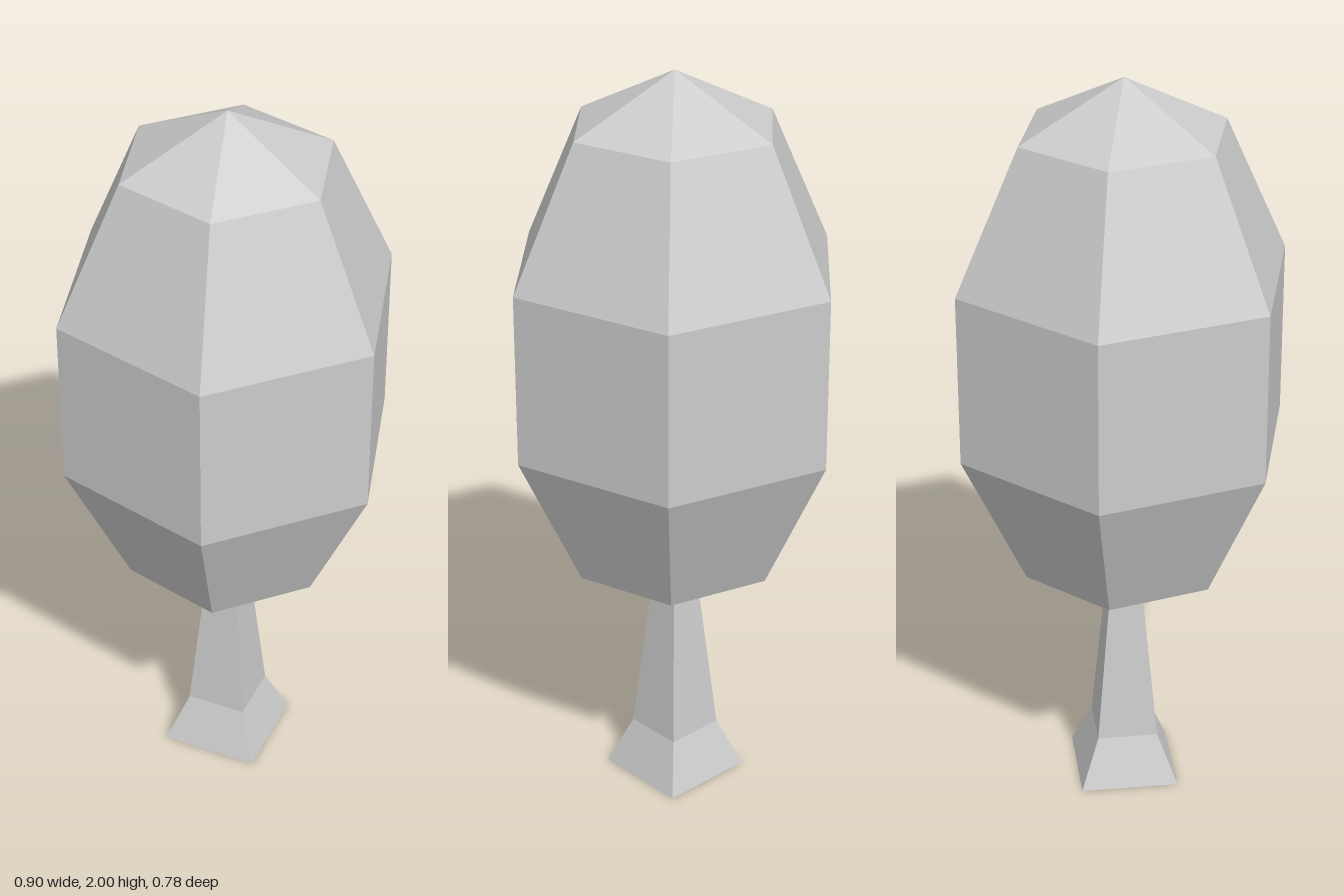
import * as THREE from 'three';

export function createModel() {
  const tree = new THREE.Group();
  tree.name = 'tree';

  // Six-sided faceted foliage
  const foliageGeometry = new THREE.SphereGeometry(1, 6, 5);
  foliageGeometry.scale(0.473, 0.7425, 0.473);
  const foliage = new THREE.Mesh(
    foliageGeometry,
    new THREE.MeshStandardMaterial({ color: 0xcccccc, flatShading: true })
  );
  foliage.name = 'foliage';
  foliage.position.y = 1.2575;
  tree.add(foliage);

  // Four-sided trunk with a flared, open foot; its top ends inside the foliage
  const profile = [[0.187, 0], [0.115, 0.135], [0.053, 0.64]]
    .map(([r, y]) => new THREE.Vector2(r, y));
  const trunk = new THREE.Mesh(
    new THREE.LatheGeometry(profile, 4),
    new THREE.MeshStandardMaterial({ color: 0xcccccc, flatShading: true, side: THREE.DoubleSide })
  );
  trunk.name = 'trunk';
  tree.add(trunk);

  return tree;
}
